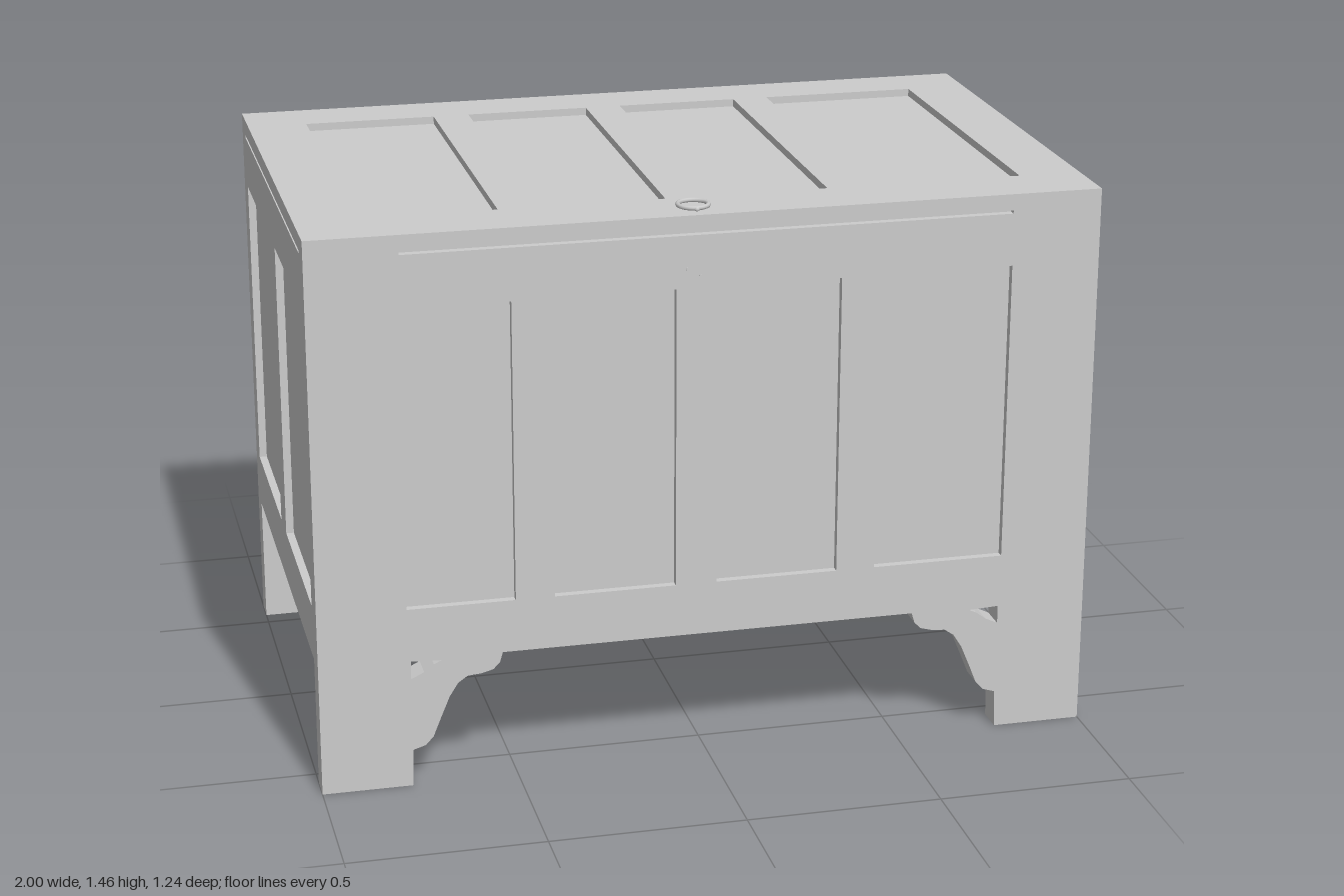
import * as THREE from 'three';

const material = new THREE.MeshStandardMaterial({ color: 0xcccccc });

function mesh(name, geometry, x = 0, y = 0, z = 0) {
  const m = new THREE.Mesh(geometry, material);
  m.name = name;
  m.position.set(x, y, z);
  return m;
}

function box(name, w, h, d, x, y, z) {
  return mesh(name, new THREE.BoxGeometry(w, h, d), x, y, z);
}

function polygon(points, Type = THREE.Shape) {
  return new Type(points.map(([x, y]) => new THREE.Vector2(x, y)));
}

function rect(x0, x1, y0, y1, Type) {
  return polygon([[x0, y0], [x1, y0], [x1, y1], [x0, y1]], Type);
}

// Flat frame board with rectangular panel openings given as [x0, x1]
function frame(shape, openings, y0, y1, depth) {
  for (const [a, b] of openings) shape.holes.push(rect(a, b, y0, y1, THREE.Path));
  return new THREE.ExtrudeGeometry(shape, { depth, bevelEnabled: false, curveSegments: 6 });
}

const mirror = (points) => points.map(([x, y]) => [-x, y]).reverse();

const LID_BOTTOM = 1.403, BODY_TOP = 1.395;
const PANEL_Y = [0.48, 1.26];

// Long wall: stiles running down into legs, with curved corner brackets
function longWall() {
  const bracket = [
    [0.535, 0.342], [0.543, 0.315], [0.56, 0.298], [0.59, 0.29], [0.625, 0.287],
    [0.65, 0.27], [0.672, 0.235], [0.695, 0.18], [0.715, 0.13], [0.735, 0.108], [0.767, 0.098],
  ];
  const rightHalf = [
    ...bracket, [0.77, 0], [1, 0], [1, LID_BOTTOM], [0.77, LID_BOTTOM], [0.77, BODY_TOP],
  ];
  const shape = polygon([...rightHalf, ...mirror(rightHalf)]);
  // Small curved openings between bracket, leg and rail
  const gap = [[0.768, 0.34], [0.69, 0.336], [0.71, 0.327], [0.735, 0.308], [0.768, 0.292]];
  shape.holes.push(polygon(gap, THREE.Path), polygon(mirror(gap), THREE.Path));
  const openings = [[-0.775, -0.5], [-0.4, -0.09], [0.015, 0.33], [0.43, 0.772]];
  return frame(shape, openings, ...PANEL_Y, 0.07);
}

function sideWall() {
  const shape = rect(-0.55, 0.55, 0.34, BODY_TOP);
  return frame(shape, [[-0.547, -0.06], [0.042, 0.54]], ...PANEL_Y, 0.05);
}

export function createModel() {
  const chest = new THREE.Group();
  chest.name = 'panelledChest';

  // Body: the core forms the sunken panels and the floor
  chest.add(box('panelCore', 1.96, 1.065, 1.2, 0, 0.8775, 0));

  // Front and back walls, then the two ends, each pair a half turn apart
  const wall = longWall();
  const end = sideWall();
  for (const [i, side] of ['front', 'back'].entries()) {
    const half = new THREE.Group();
    half.name = side + 'Half';
    half.rotation.y = i * Math.PI;
    half.add(mesh(side + 'WallWithLegs', wall, 0, 0, 0.55));
    const endWall = mesh(i ? 'leftEndWall' : 'rightEndWall', end, 0.95, 0, 0);
    endWall.rotation.y = Math.PI / 2;
    if (i === 0) endWall.name = 'leftEndWall';
    else endWall.name = 'rightEndWall';
    half.add(endWall);
    chest.add(half);
  }

  // Lid: frame with four openings over a sunken board
  const lid = new THREE.Group();
  lid.name = 'lid';
  const lidOpenings = [[-0.845, -0.5], [-0.405, -0.08], [0.015, 0.335], [0.43, 0.84]];
  const lidFrame = mesh('lidFrame',
    frame(rect(-1, 1, -0.62, 0.62), lidOpenings, -0.46, 0.47, 0.042), 0, LID_BOTTOM, 0);
  lidFrame.rotation.x = -Math.PI / 2;
  lid.add(lidFrame, box('lidPanels', 1.9, 0.02, 1.1, 0, 1.415, 0));

  // Ring pull lying on the lid near the front edge
  const ring = mesh('ringPull', new THREE.TorusGeometry(0.038, 0.006, 8, 28), -0.03, 1.451, 0.542);
  ring.rotation.x = Math.PI / 2;
  lid.add(ring);
  lid.add(mesh('ringStaple', new THREE.SphereGeometry(0.007, 10, 8), -0.03, 1.449, 0.582));
  chest.add(lid);

  // Tiny lock studs on the front rail
  for (const [x, y] of [[-0.063, 1.31], [-0.03, 1.292]]) {
    const stud = mesh('lockStud', new THREE.CylinderGeometry(0.004, 0.004, 0.006, 8), x, y, 0.62);
    stud.rotation.x = Math.PI / 2;
    chest.add(stud);
  }
  return chest;
}
